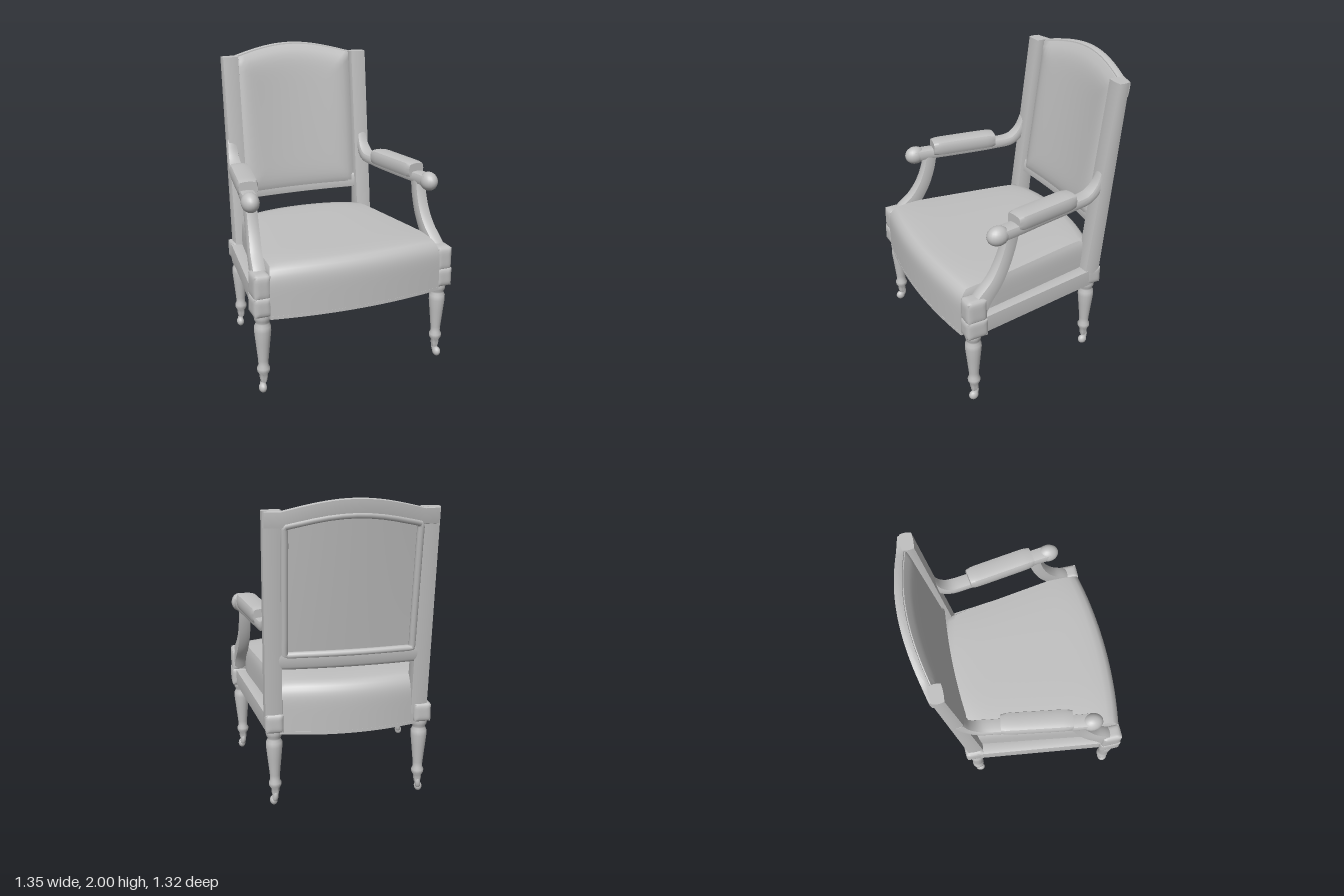
import * as THREE from 'three';
import { mergeVertices, toCreasedNormals } from 'three/addons/utils/BufferGeometryUtils.js';

const grey = new THREE.MeshStandardMaterial({ color: 0xc0c0c0 });
grey.name = 'plain grey';
const V = (x, y, z) => new THREE.Vector3(x, y, z);
const lerp = THREE.MathUtils.lerp;

export function createModel() {
  const chair = new THREE.Group();
  chair.name = 'armchair';

  const add = (name, geometry, x = 0, y = 0, z = 0) => {
    const mesh = new THREE.Mesh(geometry, grey);
    mesh.name = name;
    mesh.position.set(x, y, z);
    chair.add(mesh);
    return mesh;
  };

  // Subdivided cube whose points (each -1..1) are moved by a rule
  const mold = (nx, ny, nz, rule, crease = 0.9) => {
    let g = new THREE.BoxGeometry(2, 2, 2, nx, ny, nz);
    g.deleteAttribute('normal');
    g.deleteAttribute('uv');
    g = mergeVertices(g);
    const p = g.attributes.position;
    for (let i = 0; i < p.count; i++) {
      const q = rule(p.getX(i), p.getY(i), p.getZ(i));
      p.setXYZ(i, q.x, q.y, q.z);
    }
    return toCreasedNormals(g, crease);
  };

  // Square section blended toward a circle by r
  const soften = (a, b, r) => [
    lerp(a, a * Math.sqrt(1 - b * b / 2), r),
    lerp(b, b * Math.sqrt(1 - a * a / 2), r),
  ];

  // Softened bar along a path; size(t) gives half width and half height
  const sweep = (points, size, r, steps = 20) => {
    const curve = new THREE.CatmullRomCurve3(points);
    return mold(6, 6, steps, (x, y, z) => {
      const t = (z + 1) / 2;
      const tangent = curve.getTangentAt(t);
      const side = V(1, 0, 0).addScaledVector(tangent, -tangent.x).normalize();
      const up = tangent.clone().cross(side);
      const [a, b] = soften(x, y, r);
      const [w, h] = size(t);
      return curve.getPointAt(t).addScaledVector(side, a * w).addScaledVector(up, b * h);
    });
  };

  // Pillow block: a box with gently rounded corners
  const block = (w, h, d, r) => mold(8, 8, 8, (x, y, z) => {
    const k = (a, b) => 1 - r * Math.pow(Math.max(Math.abs(a), Math.abs(b)), 5);
    return V(x * w / 2 * k(y, z), y * h / 2 * k(x, z), z * d / 2 * k(x, y));
  });

  // ---- Seat: wider in front, bowed at the front and back ----
  const seatPoint = (u, v, inset) => {
    const t = (v + 1) / 2;
    const x = u * (Math.min(0.575, lerp(0.455, 0.605, t)) - inset * 0.35);
    const front = 0.66 - 0.055 * u * u - inset;
    const back = -0.5 + 0.07 * u * u + inset;
    return [x, lerp(back, front, t)];
  };
  add('seatCushion', mold(24, 16, 24, (u, h, v) => {
    const t = (h + 1) / 2;
    const [x, z] = seatPoint(u, v, 0.05 * t ** 8 + 0.004);
    const drop = 0.012 * Math.abs(u) ** 4 + 0.012 * Math.abs(v) ** 8;
    return V(x, lerp(0.52, 0.857 - drop, t), z);
  }));
  add('seatBase', mold(20, 1, 20, (u, h, v) => {
    const [x, z] = seatPoint(u, v, 0.003);
    return V(x, 0.522 + 0.01 * h, z);
  }));
  for (const [x, z, w, d] of [[0, 0.59, 0.2, 0.08], [0, -0.43, 0.2, 0.08], [0.5, 0.02, 0.08, 0.18], [-0.5, 0.02, 0.08, 0.18]])
    add('underseatTab', block(w, 0.024, d, 0.1), x, 0.512, z);

  // ---- Back: leaning and bowed; d is depth behind the front of the posts ----
  const shift = 0.012;
  const backPoint = (x, y, d) => {
    const bow = 0.035 + 0.035 * (y - 1);
    return V(x + shift, y, -0.34 - 0.125 * (y - 0.65) - bow * (1 - (x / 0.52) ** 2) - d);
  };
  const arch = (x) => 1.93 + 0.07 * Math.cos(Math.PI / 2 * Math.min(1, Math.abs(x) / 0.42));

  add('backTopRail', mold(32, 6, 6, (x, y, z) => {
    const [b, c] = soften(y, z, 0.3);
    const px = x * 0.515;
    const top = arch(px);
    return backPoint(px, lerp(top - 0.1, top, (b + 1) / 2), lerp(0.085, 0.035, (c + 1) / 2));
  }));
  add('backBottomRail', mold(28, 6, 6, (x, y, z) => {
    const [b, c] = soften(y, z, 0.5);
    return backPoint(x * 0.44, 1.003 + b * 0.055, lerp(0.088, 0.01, (c + 1) / 2));
  }));
  add('backPad', mold(28, 28, 2, (x, y, z) => {
    const edge = Math.max(Math.abs(x), Math.abs(y));
    const front = lerp(-0.008, 0.03, edge ** 10);
    const px = x * 0.42;
    return backPoint(px, lerp(0.965, arch(px) - 0.012, (y + 1) / 2), lerp(0.055, front, (z + 1) / 2));
  }));

  // Bead around the recessed rear panel
  const beadPoints = [];
  for (let i = 0; i <= 10; i++) beadPoints.push(backPoint(lerp(-0.4, 0.4, i / 10), 1.045, 0.068));
  for (let i = 1; i < 8; i++) beadPoints.push(backPoint(0.4, lerp(1.045, 1.84, i / 8), 0.068));
  for (let i = 0; i <= 10; i++) {
    const x = lerp(0.4, -0.4, i / 10);
    beadPoints.push(backPoint(x, arch(x) - 0.095, 0.068));
  }
  for (let i = 1; i < 8; i++) beadPoints.push(backPoint(-0.4, lerp(1.84, 1.045, i / 8), 0.068));
  add('backPanelBead', new THREE.TubeGeometry(
    new THREE.CatmullRomCurve3(beadPoints, true, 'catmullrom', 0.1), 120, 0.022, 10, true));

  // ---- Leg: turned shaft, radius and height pairs ----
  const legProfile = [
    [0, 0.07], [0.02, 0.07], [0.026, 0.1], [0.026, 0.12], [0.04, 0.145], [0.041, 0.165], [0.031, 0.185],
    [0.033, 0.22], [0.045, 0.34], [0.053, 0.42], [0.052, 0.45], [0.042, 0.47], [0.042, 0.48],
    [0.05, 0.495], [0.053, 0.515], [0.05, 0.54], [0, 0.54],
  ].map(([r, y]) => new THREE.Vector2(r, y));
  const legGeometry = toCreasedNormals(new THREE.LatheGeometry(legProfile, 16), 0.9);
  const wheelGeometry = new THREE.SphereGeometry(0.032, 14, 10);

  for (const s of [1, -1]) {
    // Legs with casters
    for (const [name, x, z] of [['front', 0.605, 0.535], ['back', 0.478, -0.39]]) {
      add(name + 'Leg', legGeometry, s * x, 0, z);
      add(name + 'CasterFork', new THREE.TubeGeometry(new THREE.CatmullRomCurve3([
        V(0, 0.11, 0), V(0, 0.075, -0.012), V(s * 0.004, 0.045, -0.006), V(s * 0.008, 0.032, 0.012),
      ]), 8, 0.019, 8), s * x, 0, z);
      add(name + 'CasterWheel', wheelGeometry, s * (x + 0.01), 0.032, z + 0.01).scale.x = 0.8;
    }

    // Seat frame
    add('frontCornerBlock', block(0.115, 0.135, 0.15, 0.12), s * 0.617, 0.593, 0.53);
    add('frontCornerCap', block(0.11, 0.17, 0.14, 0.12), s * 0.615, 0.717, 0.53);
    add('backCornerBlock', block(0.12, 0.13, 0.13, 0.12), s * 0.48, 0.592, -0.4);
    add('sideRail', sweep([V(s * 0.495, 0.588, -0.4), V(s * 0.607, 0.588, 0.5)],
      () => [0.04, 0.06], 0.2, 4));

    // Back post, leaning, thinner toward the top
    add('backPost', mold(6, 16, 6, (x, y, z) => {
      const [a, c] = soften(x, z, 0.35);
      const py = lerp(0.58, 1.93, (y + 1) / 2);
      const depth = lerp(0.115, 0.078, (y + 1) / 2);
      return V(s * 0.47 + shift + a * 0.058, py, -0.337 - 0.125 * (py - 0.65) - depth * (1 - c) / 2);
    }));

    // Arm: sweeps out of the post and runs to the scroll
    add('arm', sweep([
      V(s * 0.488, 1.37, -0.465), V(s * 0.49, 1.26, -0.415), V(s * 0.495, 1.2, -0.345),
      V(s * 0.515, 1.187, -0.2), V(s * 0.555, 1.185, 0.05), V(s * 0.59, 1.185, 0.25), V(s * 0.605, 1.185, 0.37),
    ], (t) => [lerp(0.03, 0.048, Math.min(1, t * 4)), lerp(0.03, 0.037, t)], 0.45, 32));
    const scroll = add('armScroll', new THREE.SphereGeometry(0.062, 20, 14), s * 0.607, 1.18, 0.36);
    scroll.scale.set(0.9, 1, 1.15);

    // Padded armrest
    const pad = add('armPad', mold(10, 8, 14, (x, y, z) => {
      const [a, b] = soften(x, y, 0.5);
      const end = 1 - 0.12 * Math.abs(z) ** 10;
      return V(a * 0.067 * end, b * 0.053 * end, z * 0.225);
    }), s * 0.545, 1.227, 0.015);
    pad.rotation.y = s * 0.155;

    // Arm support: curves forward and down to the front corner
    add('armSupport', sweep([
      V(s * 0.585, 1.19, 0.255), V(s * 0.583, 1.08, 0.28), V(s * 0.587, 0.96, 0.325),
      V(s * 0.597, 0.86, 0.385), V(s * 0.608, 0.77, 0.47), V(s * 0.612, 0.68, 0.53),
    ], (t) => [lerp(0.038, 0.045, t), 0.042 + 0.03 * t ** 3], 0.45, 24));
  }
  return chair;
}
